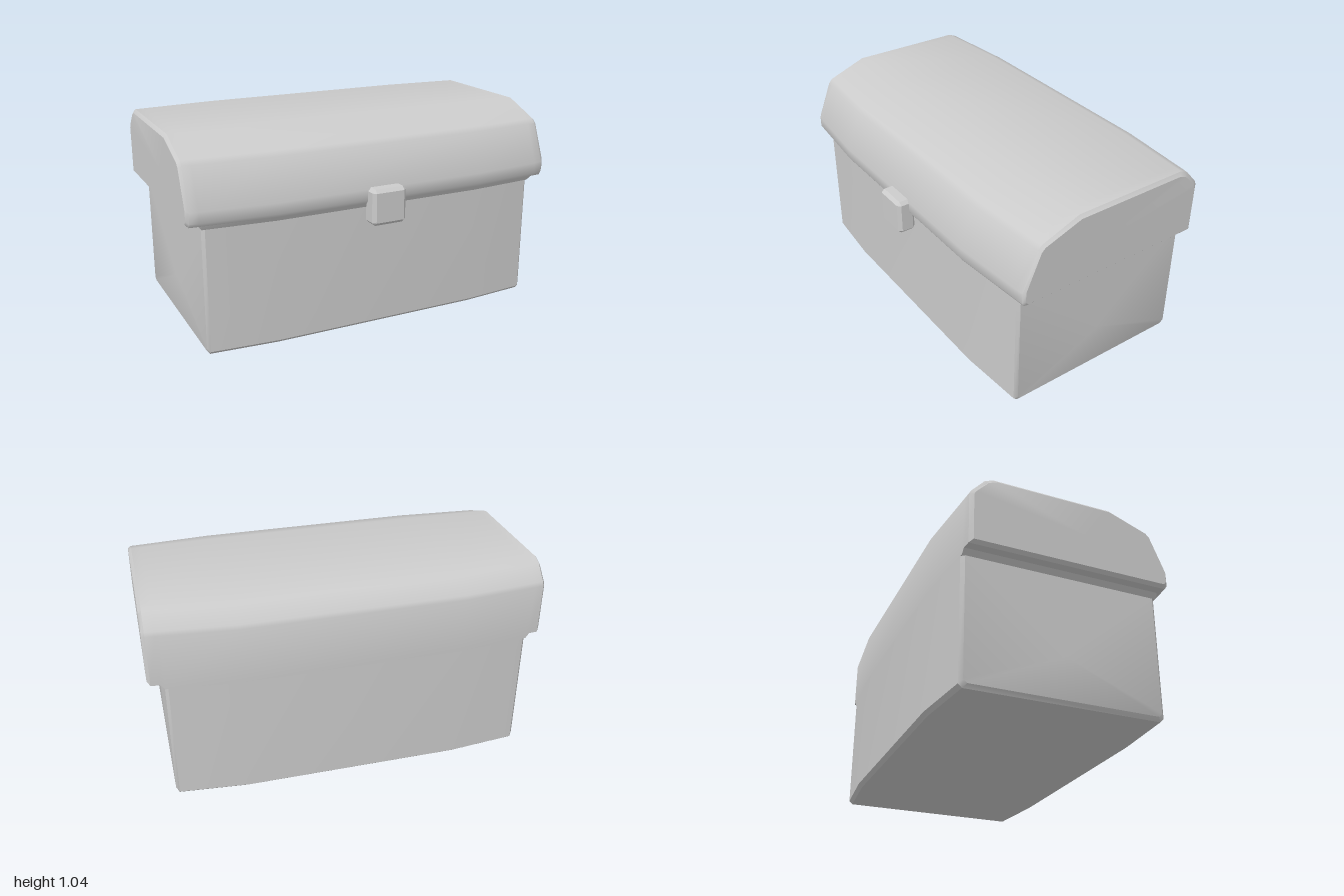
import * as THREE from 'three';
import { toCreasedNormals } from 'three/addons/utils/BufferGeometryUtils.js';
import { ConvexGeometry } from 'three/addons/geometries/ConvexGeometry.js';

const material = new THREE.MeshStandardMaterial({ color: 0xcccccc });

// The plan is straight in the middle and narrows towards both ends.
const taper = (x) => 1 - 0.07 * Math.max(0, (Math.abs(x) - 0.56) / 0.42);

// Mirrors half a list of x stations to run from -x to +x.
const mirrored = (xs) => [...xs.map((x) => -x).reverse(), ...xs];

// Joins rings of [x, y, z] points along x and closes both ends with fans.
function loft(rings) {
  const n = rings[0].length;
  const positions = rings.flat(2);
  const index = [];
  for (let i = 0; i < rings.length - 1; i++) {
    for (let j = 0; j < n; j++) {
      const a = i * n + j, b = i * n + (j + 1) % n;
      index.push(a, b, a + n, b, b + n, a + n);
    }
  }
  for (const i of [0, rings.length - 1]) {
    const centre = positions.length / 3;
    for (let k = 0; k < 3; k++) positions.push(rings[i].reduce((s, p) => s + p[k], 0) / n);
    for (let j = 0; j < n; j++) {
      const a = i * n + j, b = i * n + (j + 1) % n;
      if (i) index.push(centre, a, b);
      else index.push(centre, b, a);
    }
  }
  const geometry = new THREE.BufferGeometry();
  geometry.setAttribute('position', new THREE.Float32BufferAttribute(positions, 3));
  geometry.setIndex(index);
  return toCreasedNormals(geometry, 0.6);
}

function addMesh(group, name, geometry) {
  const mesh = new THREE.Mesh(geometry, material);
  mesh.name = name;
  group.add(mesh);
}

export function createModel() {
  const group = new THREE.Group();
  group.name = 'chest';

  // Body: profile as [z, y], from the front top down and round to the back
  const bodyProfile = [
    [0.485, 0.645], [0.485, 0.018], [0.465, 0], [-0.565, 0], [-0.585, 0.018], [-0.585, 0.645],
  ];
  addMesh(group, 'body', loft(mirrored([0.56, 0.905, 0.92]).map((x) => {
    const end = Math.abs(x) > 0.91;
    return bodyProfile.map(([z, y]) => {
      const w = z * taper(x);
      return end ? [x, 0.645 + (y - 0.645) * 0.97, w * 0.97] : [x, y, w];
    });
  })));

  // Lid: overhangs the front and ends, flush with the body at the back
  const lidProfile = [
    [0.525, 0.745], [0.525, 0.69], [0.513, 0.672], [0.502, 0.67], [0.486, 0.645],
    [-0.585, 0.645], [-0.585, 0.935], [-0.575, 0.955], [-0.505, 1.027], [-0.46, 1.045],
    [0.2, 1.045], [0.42, 0.967], [0.441, 0.945],
  ];
  addMesh(group, 'lid', loft(mirrored([0.56, 0.92, 0.94, 0.985, 1]).map((x) => {
    const end = Math.abs(x) > 0.99;
    const bottom = Math.abs(x) > 0.93 ? 0.67 : 0;
    return lidProfile.map(([z, y]) => {
      const w = z * taper(Math.min(Math.abs(x), 0.985));
      const h = Math.max(y, bottom);
      return end ? [x, 0.855 + (h - 0.855) * 0.91, 0.1 + (w - 0.1) * 0.97] : [x, h, w];
    });
  })));

  // Latch: a box with every edge chamfered
  const half = [0.093, 0.093, 0.048], chamfer = 0.017;
  const corners = [];
  for (const sx of [-1, 1]) for (const sy of [-1, 1]) for (const sz of [-1, 1]) {
    for (let axis = 0; axis < 3; axis++) {
      const p = half.map((h, k) => (k === axis ? h : h - chamfer));
      corners.push(new THREE.Vector3(sx * p[0], sy * p[1], sz * p[2]));
    }
  }
  const latch = new ConvexGeometry(corners);
  latch.translate(-0.002, 0.662, 0.537);
  addMesh(group, 'latch', latch);

  return group;
}
